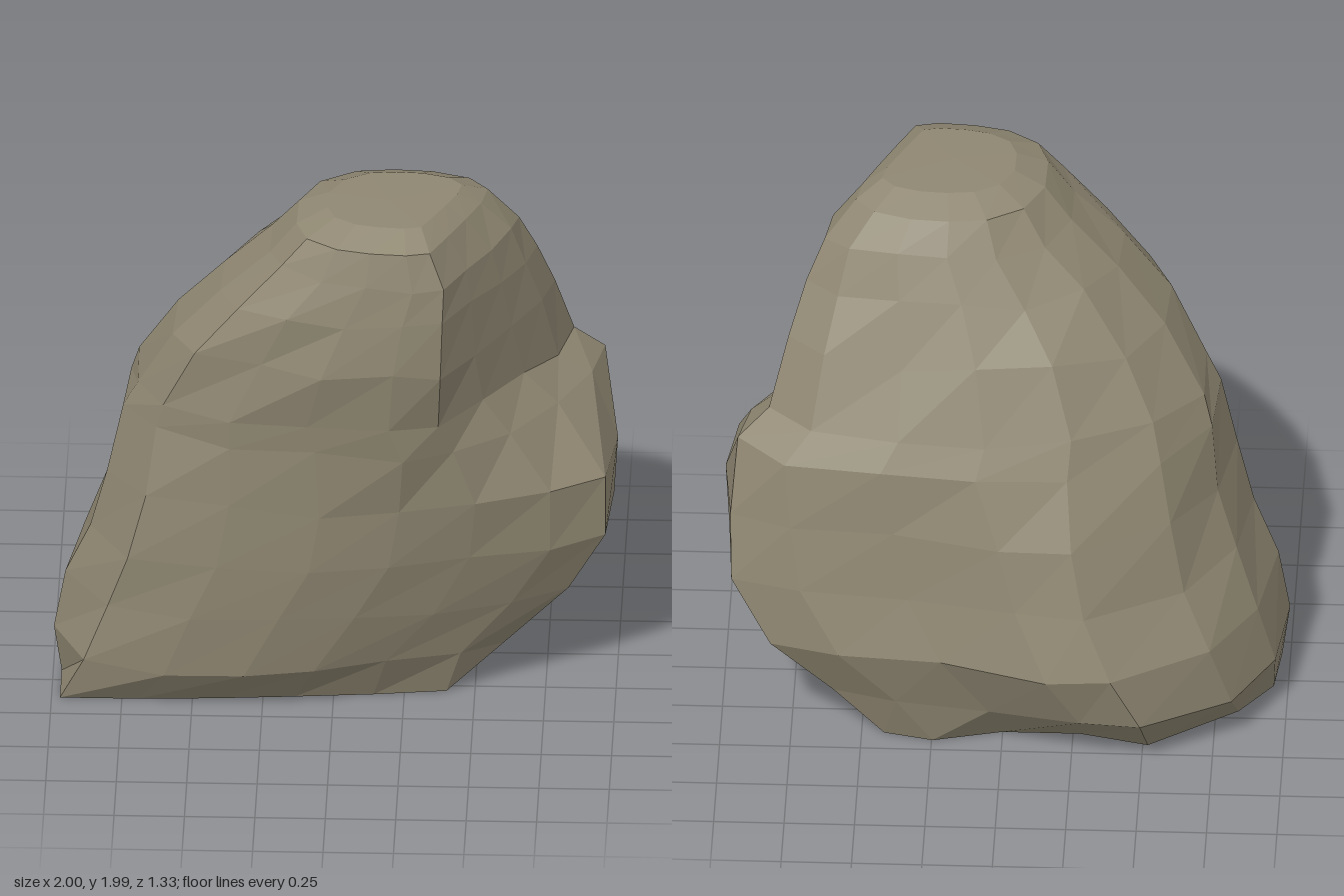
import * as THREE from 'three';

// Plan outlines in a unit box, running from +x through +z (front) to -x and the back
const FOOT = [[1, -.1], [1, .35], [.97, .76], [.6, .84], [.2, .9], [-.2, .95], [-.6, .98], [-1, .98],
  [-1, .5], [-.97, 0], [-.8, -.4], [-.35, -.95], [0, -.8], [.4, -.8], [.75, -.95], [1, -.85]];
const BODY = [[1, -.05], [.98, .48], [.77, .66], [.46, .82], [.15, .95], [-.15, 1], [-.5, .96], [-.84, .83],
  [-1, .42], [-.95, -.2], [-.76, -.65], [-.38, -1], [-.12, -.97], [.3, -.84], [.7, -.75], [.97, -.6]];
const HIGH = [[.94, -.25], [.79, .12], [.61, .54], [.43, .94], [.18, 1], [-.2, .97], [-.56, .88], [-.88, .64],
  [-1, .28], [-.99, -.25], [-.78, -.7], [-.4, -.95], [0, -1], [.4, -.97], [.8, -.83], [1, -.58]];

// Each level: y, min x, max x, min z, max z
const LEVELS = [
  [0, -.97, .42, -.46, .39], [.17, -1, .62, -.61, .52], [.4, -.95, .84, -.66, .55],
  [.63, -.87, .99, -.59, .57], [.87, -.8, 1, -.53, .59], [1.11, -.74, .95, -.45, .62],
  [1.22, -.7, .83, -.39, .63], [1.46, -.57, .77, -.28, .67], [1.66, -.4, .71, -.17, .66],
  [1.81, -.23, .65, -.1, .64], [1.93, -.13, .54, -.03, .61], [1.98, -.02, .45, .08, .5],
];

// Chips in the surface: centre, radius, inward push
const DENTS = [
  { at: new THREE.Vector3(.47, 1.11, .55), radius: .2, push: .08 },
  { at: new THREE.Vector3(-.25, 1.5, .58), radius: .18, push: .05 },
  { at: new THREE.Vector3(-.08, .15, -.55), radius: .22, push: .08 },
];

function seeded(seed) {
  return () => {
    seed = (seed * 16807) % 2147483647;
    return seed / 2147483647 - .5;
  };
}

function boulderGeometry() {
  const n = BODY.length, random = seeded(71), points = [], index = [];
  const { lerp, smoothstep } = THREE.MathUtils;

  // Stacked cross-sections, blending from the flat foot to the body and the narrow crown
  LEVELS.forEach(([y, x0, x1, z0, z1], level) => {
    const toBody = smoothstep(y, 0, .2), toHigh = smoothstep(y, .75, 1.2);
    const rough = level === 0 || level > LEVELS.length - 3 ? 0 : .025;
    const cx = (x0 + x1) / 2, cz = (z0 + z1) / 2;
    for (let i = 0; i < n; i++) {
      const [u, v] = [0, 1].map((k) => lerp(lerp(FOOT[i][k], BODY[i][k], toBody), HIGH[i][k], toHigh));
      const swell = 1 + random() * rough;
      const p = new THREE.Vector3(cx + u * (x1 - x0) / 2 * swell, y + random() * rough * 1.6,
        cz + v * (z1 - z0) / 2 * swell);
      for (const { at, radius, push } of DENTS) {
        const amount = push * Math.max(0, 1 - p.distanceTo(at) / radius);
        p.add(new THREE.Vector3(cx - p.x, 0, cz - p.z).normalize().multiplyScalar(amount));
      }
      points.push(p);
    }
  });

  // Side facets
  for (let l = 0; l < LEVELS.length - 1; l++) {
    for (let i = 0; i < n; i++) {
      const j = (i + 1) % n;
      const a = l * n + i, b = l * n + j, c = a + n, d = b + n;
      index.push(a, c, b, b, c, d);
    }
  }

  // Crown and underside
  const top = (LEVELS.length - 1) * n;
  const crown = points.push(new THREE.Vector3(.2, 1.985, .3)) - 1;
  const base = points.push(new THREE.Vector3(-.25, .02, 0)) - 1;
  for (let i = 0; i < n; i++) {
    const j = (i + 1) % n;
    index.push(crown, top + j, top + i, base, i, j);
  }

  const geometry = new THREE.BufferGeometry().setFromPoints(points);
  geometry.setIndex(index);
  const faceted = geometry.toNonIndexed();
  faceted.computeVertexNormals();
  return faceted;
}

export function createModel() {
  const stone = new THREE.MeshStandardMaterial({ color: 0x8f8772 });
  stone.name = 'stone';
  stone.flatShading = true;

  const boulder = new THREE.Mesh(boulderGeometry(), stone);
  boulder.name = 'boulder';

  const group = new THREE.Group();
  group.name = 'rock';
  group.add(boulder);
  return group;
}
